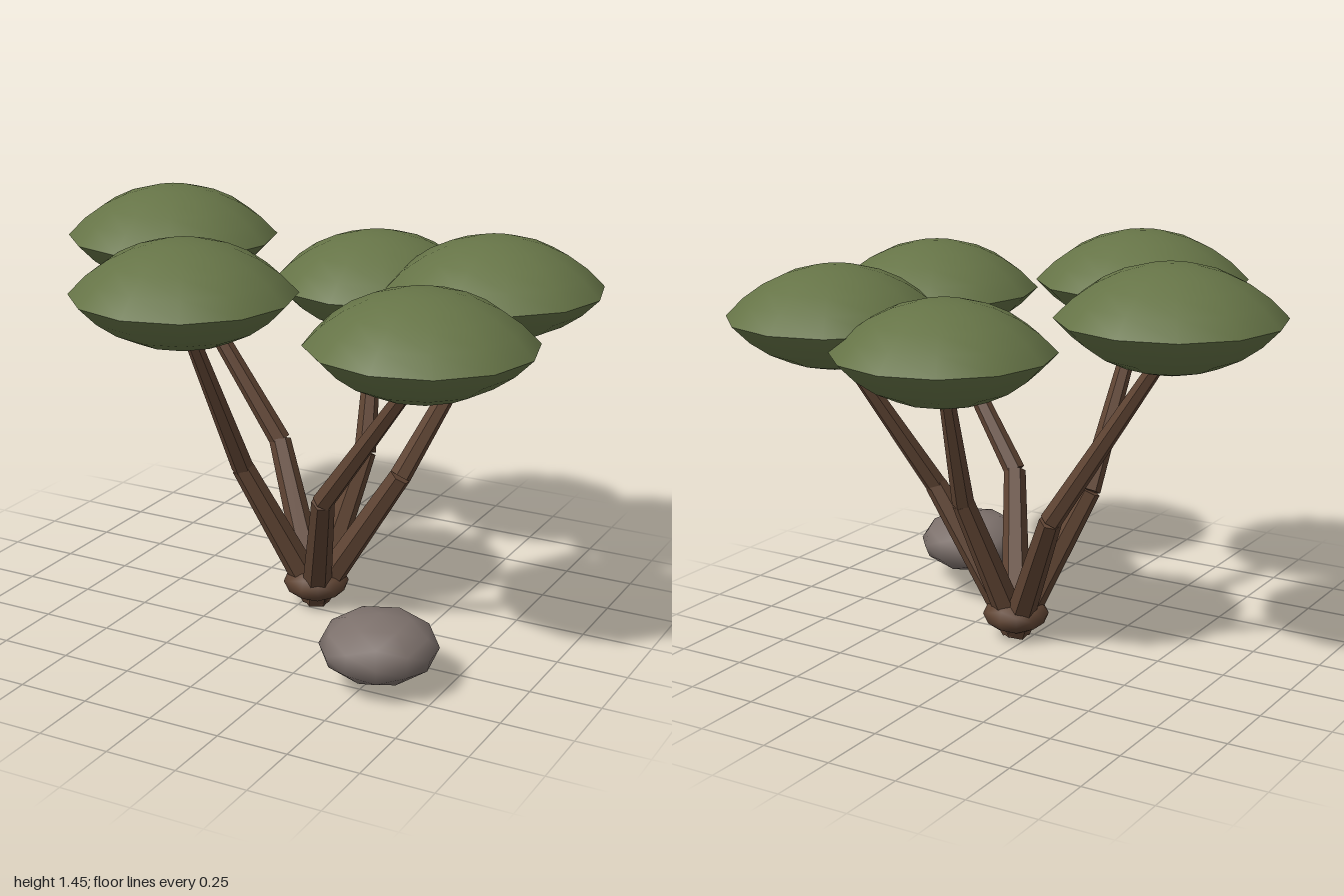
import * as THREE from 'three';
import { mergeGeometries } from 'three/addons/utils/BufferGeometryUtils.js';

// Lens-shaped crown: two shallow spherical caps meeting in a sharp rim
function canopyGeometry(radius, height) {
  const R = (radius * radius + height * height) / (2 * height);
  const top = new THREE.SphereGeometry(R, 12, 5, 0, Math.PI * 2, 0, Math.asin(radius / R));
  top.translate(0, height - R, 0);
  const bottom = top.clone().rotateX(Math.PI);
  return mergeGeometries([top, bottom]);
}

// Tapered faceted limb between two points
function limb(name, from, to, r0, r1, material) {
  const dir = to.clone().sub(from);
  const geometry = new THREE.CylinderGeometry(r1, r0, dir.length(), 6).toNonIndexed();
  geometry.computeVertexNormals();
  const mesh = new THREE.Mesh(geometry, material);
  mesh.name = name;
  mesh.position.copy(from).add(to).multiplyScalar(0.5);
  mesh.quaternion.setFromUnitVectors(new THREE.Vector3(0, 1, 0), dir.normalize());
  return mesh;
}

export function createModel() {
  const model = new THREE.Group();
  model.name = 'tree';
  const leaf = new THREE.MeshStandardMaterial({ name: 'leaf green', color: 0x667447 });
  const bark = new THREE.MeshStandardMaterial({ name: 'bark brown', color: 0x5f4433 });
  const stone = new THREE.MeshStandardMaterial({ name: 'stone grey', color: 0x7d716c });

  // Root knot where all the limbs meet
  const knot = new THREE.Mesh(new THREE.IcosahedronGeometry(0.118, 1), bark);
  knot.name = 'rootKnot';
  knot.position.set(0.05, 0.09, -0.045);
  knot.scale.y = 0.55;
  model.add(knot);

  // Each branch: elbow position and crown centre
  const branches = [
    { elbow: [-0.2, 0.53, -0.23], crown: [-0.62, 1.27, -0.19] },
    { elbow: [-0.16, 0.54, 0.115], crown: [-0.19, 1.25, 0.44] },
    { elbow: [0.145, 0.54, -0.24], crown: [0.085, 1.125, -0.445] },
    { elbow: [0.36, 0.535, -0.085], crown: [0.58, 1.18, -0.36] },
    { elbow: [0.225, 0.525, 0.24], crown: [0.62, 1.16, 0.33] },
  ];
  const root = new THREE.Vector3(0.05, 0.03, -0.045);
  const crownGeometry = canopyGeometry(0.38, 0.178);
  for (const { elbow, crown } of branches) {
    const branch = new THREE.Group();
    branch.name = 'branch';
    const joint = new THREE.Vector3(...elbow);
    const tip = new THREE.Vector3(...crown);
    tip.y -= 0.09;
    branch.add(limb('lowerLimb', root, joint, 0.054, 0.04, bark));
    branch.add(limb('upperLimb', joint, tip, 0.039, 0.025, bark));
    const canopy = new THREE.Mesh(crownGeometry, leaf);
    canopy.name = 'canopy';
    canopy.position.set(...crown);
    branch.add(canopy);
    model.add(branch);
  }

  // Smooth boulder beside the tree
  const rock = new THREE.Mesh(new THREE.IcosahedronGeometry(1, 1), stone);
  rock.name = 'rock';
  rock.geometry.rotateY(0.4);
  rock.geometry.scale(0.2, 0.115, 0.2);
  rock.position.set(0.54, 0.146, 0.442);
  model.add(rock);

  return model;
}
